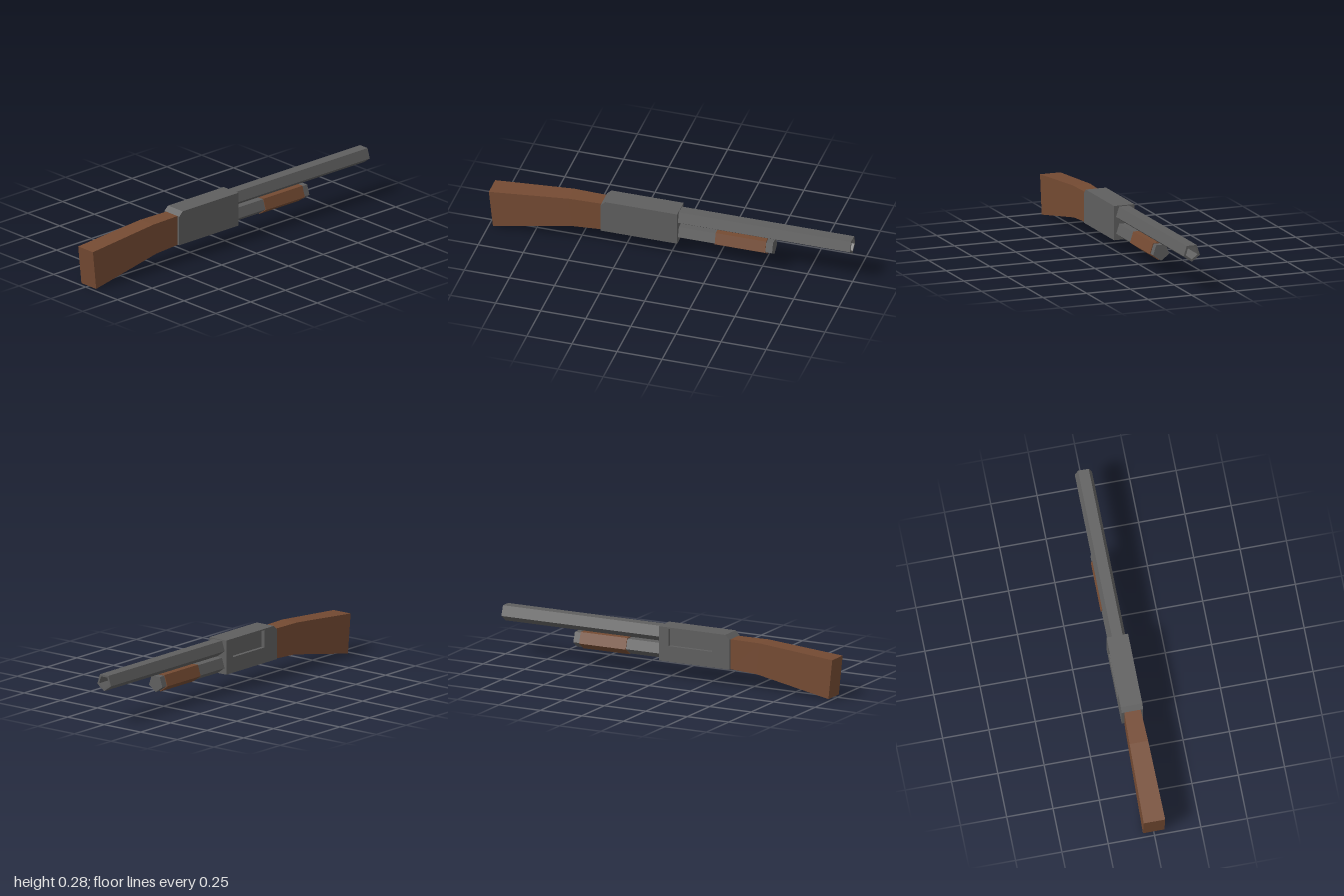
import * as THREE from 'three';

const metal = new THREE.MeshStandardMaterial({ color: 0x5f5f5f, flatShading: true });
metal.name = 'gunmetal';
const wood = new THREE.MeshStandardMaterial({ color: 0x744a32, flatShading: true });
wood.name = 'walnut';

const shapeOf = (pts) => new THREE.Shape(pts.map(([x, y]) => new THREE.Vector2(x, y)));
const rect = (x0, x1, y0, y1) => [[x0, y0], [x1, y0], [x1, y1], [x0, y1]];
const extrude = (shape, depth) => new THREE.ExtrudeGeometry(shape, { depth, bevelEnabled: false });

// Five-sided outline, flat on top with a point at the bottom
const pentagon = (r) => Array.from({ length: 5 }, (_, i) => {
  const a = (i * Math.PI * 2) / 5;
  return [r * Math.sin(a), -r * Math.cos(a)];
});

// Side profile drawn in (z, y), filling x0..x1
const sideSlab = (shape, x0, x1) =>
  extrude(shape, x1 - x0).rotateY(-Math.PI / 2).translate(x1, 0, 0);

// Solid five-sided bar along z
const bar = (r, y, z0, z1) =>
  new THREE.CylinderGeometry(r, r, z1 - z0, 5).rotateX(Math.PI / 2).translate(0, y, (z0 + z1) / 2);

// Stock: a box whose three sections are moved to [half width, top y, top z, bottom y, bottom z]
function stockGeometry() {
  const sections = [
    [0.044, 0.253, 0.37, 0.09, 0.37],
    [0.05, 0.253, 0.56, 0.082, 0.54],
    [0.058, 0.215, 1.0, 0, 0.977],
  ];
  const g = new THREE.BoxGeometry(2, 2, 2, 1, 1, 2);
  const p = g.attributes.position;
  for (let i = 0; i < p.count; i++) {
    const [w, ty, tz, by, bz] = sections[Math.round(p.getZ(i)) + 1];
    const top = p.getY(i) > 0;
    p.setXYZ(i, Math.sign(p.getX(i)) * w, top ? ty : by, top ? tz : bz);
  }
  g.computeVertexNormals();
  return g;
}

export function createModel() {
  const group = new THREE.Group();
  const add = (parent, name, geometry, material) => {
    const mesh = new THREE.Mesh(geometry, material);
    mesh.name = name;
    parent.add(mesh);
  };

  // Receiver: core, a side wall with the ejection port, a floor with the loading port
  const receiver = new THREE.Group();
  receiver.name = 'receiver';
  group.add(receiver);
  const W = 0.058, wall = 0.02, bottom = 0.09, back = 0.38, front = -0.045;
  const profile = [
    [front, bottom + wall], [back, bottom + wall], [back, 0.253], [0.355, 0.277], [front, 0.277],
  ];
  add(receiver, 'receiverCore', sideSlab(shapeOf(profile), -W + wall, W), metal);
  const portWall = shapeOf(profile);
  portWall.holes.push(shapeOf(rect(0.013, 0.275, 0.175, 0.27)));
  add(receiver, 'ejectionPortWall', sideSlab(portWall, -W, -W + wall), metal);
  const floor = shapeOf(rect(-W, W, front, back));
  floor.holes.push(shapeOf(rect(-0.037, 0.037, 0.022, 0.275)));
  add(receiver, 'loadingPortFloor',
    extrude(floor, wall).rotateX(Math.PI / 2).translate(0, bottom + wall, 0), metal);

  // Hollow barrel
  const ring = shapeOf(pentagon(0.049));
  ring.holes.push(shapeOf(pentagon(0.036)));
  add(group, 'barrel', extrude(ring, 1 + front).translate(0, 0.232, -1), metal);

  // Magazine tube and sliding forend
  add(group, 'magazineTube', bar(0.048, 0.139, -0.567, front), metal);
  add(group, 'forend', bar(0.053, 0.139, -0.53, -0.25), wood);

  add(group, 'stock', stockGeometry(), wood);
  return group;
}
